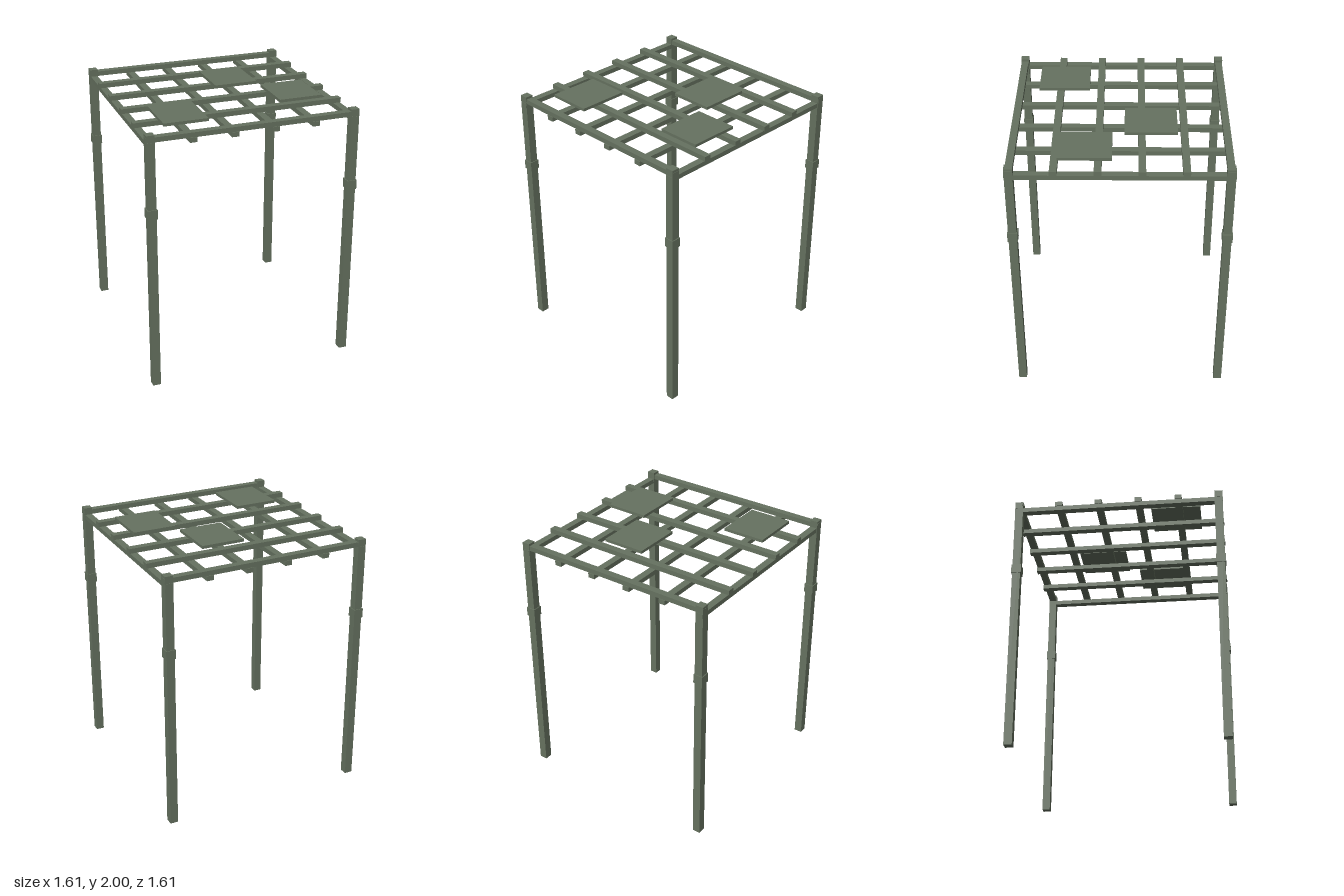
import * as THREE from 'three';

export function createModel() {
  const model = new THREE.Group();
  model.name = 'pergola';
  const paint = new THREE.MeshStandardMaterial({ color: 0x667260 });
  paint.name = 'greyGreenPaint';

  function box(name, parent, w, h, d, x, y, z) {
    const mesh = new THREE.Mesh(new THREE.BoxGeometry(w, h, d), paint);
    mesh.name = name;
    mesh.position.set(x, y, z);
    parent.add(mesh);
  }

  // Corner posts, each with a collar
  const edge = 0.767;
  const postHeight = 1.994;
  for (const x of [-edge, edge]) {
    for (const z of [-edge, edge]) {
      const post = new THREE.Group();
      post.name = 'cornerPost';
      post.position.set(x, 0, z);
      box('post', post, 0.061, postHeight, 0.061, 0, postHeight / 2, 0);
      box('postCollar', post, 0.074, 0.07, 0.074, 0, 1.405, 0);
      model.add(post);
    }
  }

  // Roof lattice: lower rails run front to back, upper rails side to side
  const lattice = new THREE.Group();
  lattice.name = 'roofLattice';
  model.add(lattice);
  const railCount = 6;
  for (let i = 0; i < railCount; i++) {
    const p = -edge + (2 * edge * i) / (railCount - 1);
    box('lowerRail', lattice, 0.053, 0.035, 1.6, p, 1.9235, 0);
    box('upperRail', lattice, 1.6, 0.036, 0.053, 0, 1.959, p);
  }

  // Flat cover panels resting on the upper rails: centre x, centre z
  const panels = [[-0.452, 0.43], [0.166, -0.22], [0.497, 0.248]];
  for (const [x, z] of panels) {
    box('coverPanel', model, 0.332, 0.022, 0.382, x, 1.989, z);
  }

  return model;
}
